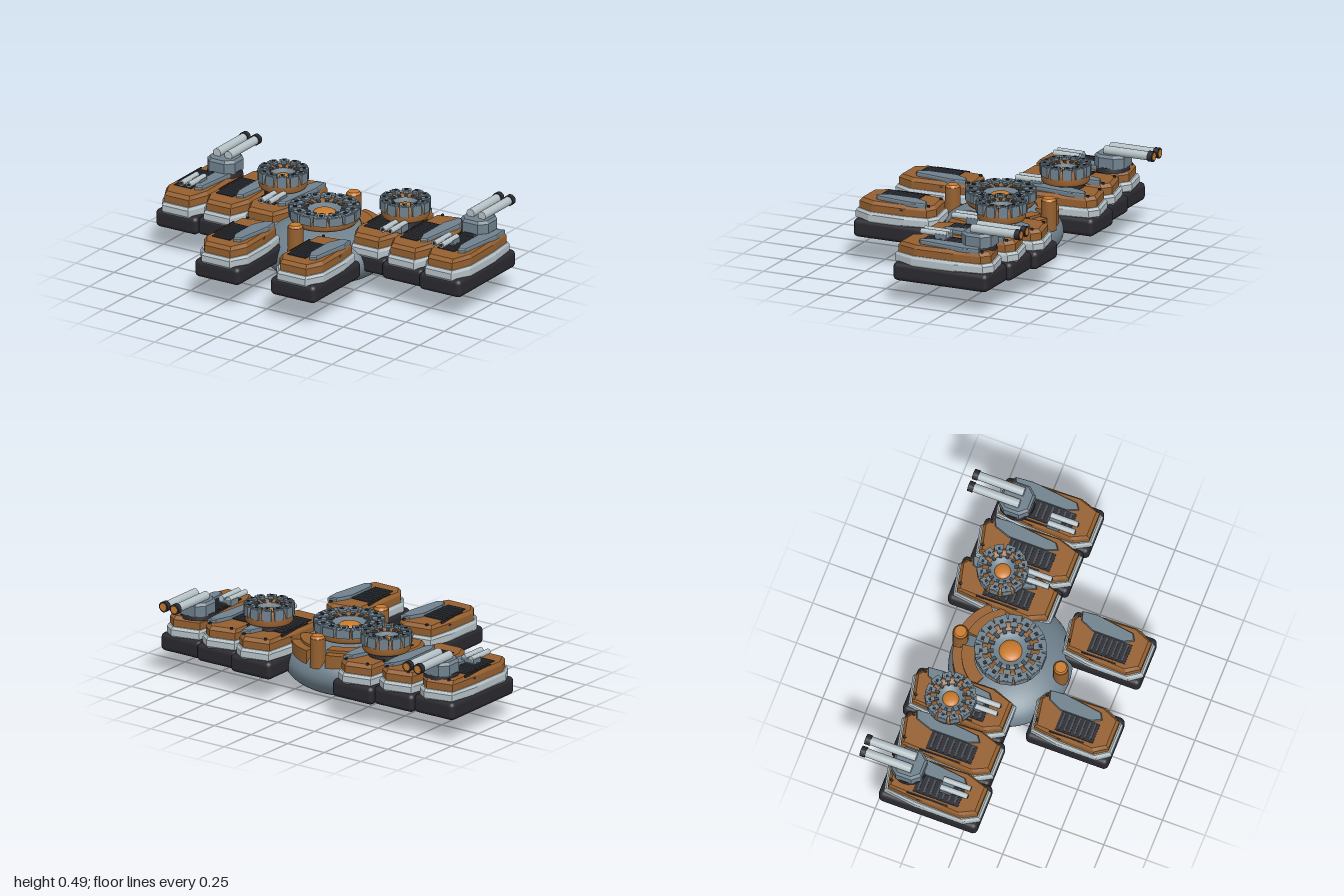
import * as THREE from 'three';
import { RoundedBoxGeometry } from 'three/addons/geometries/RoundedBoxGeometry.js';

const mat = (name, color) => {
  const m = new THREE.MeshStandardMaterial({ color });
  m.name = name;
  return m;
};

export function createModel() {
  const M = {
    hull: mat('slate hull', 0x6f818d),
    brown: mat('copper armour', 0x95602f),
    light: mat('pale band', 0xb6c2c7),
    dark: mat('dark rubber', 0x29292f),
    glow: mat('orange core', 0xc97a2c),
    steel: mat('gunmetal', 0x465059),
  };
  const root = new THREE.Group();
  root.name = 'hoverPlatform';

  const add = (parent, name, geo, material, x = 0, y = 0, z = 0) => {
    const mesh = new THREE.Mesh(geo, material);
    mesh.name = name;
    mesh.position.set(x, y, z);
    parent.add(mesh);
    return mesh;
  };
  const group = (parent, name, x = 0, y = 0, z = 0) => {
    const g = new THREE.Group();
    g.name = name;
    g.position.set(x, y, z);
    parent.add(g);
    return g;
  };
  const box = (w, h, d) => new THREE.BoxGeometry(w, h, d);
  const cyl = (r1, r2, h, n = 24) => new THREE.CylinderGeometry(r1, r2, h, n);

  // Stack an outline (x, z) at several heights: layers are [y, inset]
  const loft = (outline, layers) => {
    const n = outline.length, pos = [], idx = [];
    layers.forEach(([y, inset]) => outline.forEach(([x, z]) => {
      const l = Math.hypot(x, z) || 1;
      pos.push(x - (x / l) * inset, y, z - (z / l) * inset);
    }));
    for (let i = 0; i < layers.length - 1; i++) {
      for (let j = 0; j < n; j++) {
        const a = i * n + j, b = i * n + (j + 1) % n;
        idx.push(a, a + n, b, a + n, b + n, b);
      }
    }
    const top = (layers.length - 1) * n;
    for (let j = 1; j < n - 1; j++) idx.push(top, top + j + 1, top + j, 0, j, j + 1);
    const g = new THREE.BufferGeometry();
    g.setAttribute('position', new THREE.Float32BufferAttribute(pos, 3));
    g.setIndex(idx);
    const flat = g.toNonIndexed();
    flat.computeVertexNormals();
    return flat;
  };

  // Pod outlines as fractions of width and length
  const podOutline = [[-0.4, -0.45], [0.2, -0.51], [0.41, -0.44], [0.49, -0.15], [0.49, 0.3],
    [0.31, 0.51], [-0.31, 0.51], [-0.49, 0.36], [-0.49, -0.12]];
  const plateOutline = [[0.2, -0.36], [0.37, -0.39], [0.4, -0.22], [0.29, 0.25],
    [0.17, 0.29], [0.08, 0.18], [0.08, -0.2]];

  // Armoured pod: rubber skirt, pale band, copper roof, vent and side plate
  const pod = (name, x, y, z, w, len) => {
    const g = group(root, name, x, y, z);
    const fit = (pts) => pts.map(([u, v]) => [u * w, v * len]);
    add(g, 'skirt', new RoundedBoxGeometry(w, 0.105, len, 3, 0.028), M.dark, 0, 0.0525, 0);
    add(g, 'band', loft(fit(podOutline), [[0.09, 0.012], [0.105, 0], [0.14, 0], [0.155, 0.012]]), M.light);
    add(g, 'roof', loft(fit(podOutline), [[0.15, 0.02], [0.195, 0.02], [0.215, 0.038]]), M.brown);
    add(g, 'sidePlate', loft(fit(plateOutline), [[0.21, 0], [0.229, 0], [0.235, 0.006]]), M.hull);
    // Vent with cross slats
    const vw = 0.4 * w, vl = 0.46 * len, vx = -0.12 * w, vz = 0.055 * len;
    add(g, 'vent', box(vw, 0.012, vl), M.dark, vx, 0.214, vz);
    for (let i = 0; i < 7; i++) {
      add(g, 'ventSlat', box(vw * 0.84, 0.008, vl * 0.04), M.steel, vx, 0.222, vz + (i - 3) * vl * 0.135);
    }
    add(g, 'ventRail', box(0.008, 0.014, vl * 0.9), M.dark, -0.37 * w, 0.212, -0.02 * len);
    // Small slots on the roof flanks
    for (const s of [-1, 1]) for (const v of [-0.1, 0.26]) {
      add(g, 'sideSlot', box(0.006, 0.008, 0.02), M.dark, s * (0.49 * w - 0.02), 0.185, v * len);
    }
    for (const u of [-0.25, 0.28]) add(g, 'rivet', cyl(0.009, 0.009, 0.01, 8), M.dark, u * w, 0.217, -0.4 * len);
    return g;
  };

  // Central ellipsoid hull
  const hull = add(root, 'hull', new THREE.SphereGeometry(1, 48, 32), M.hull, 0, 0.17, -0.085);
  hull.scale.set(0.37, 0.17, 0.34);

  // Stepped copper collar behind the centre
  const collar = (r0, r1, a0, a1, y, h) => {
    const s = new THREE.Shape();
    s.absarc(0, 0, r1, a0, a1, false);
    s.absarc(0, 0, r0, a1, a0, true);
    const geo = new THREE.ExtrudeGeometry(s, { depth: h, bevelEnabled: false, curveSegments: 10 });
    geo.rotateX(-Math.PI / 2);
    add(root, 'collar', geo, M.brown, 0, y, -0.085);
  };
  for (const s of [-1, 1]) {
    const arc = (r0, r1, a, b, y, h) => {
      const p = Math.PI / 2 + s * a, q = Math.PI / 2 + s * b;
      collar(r0, r1, Math.min(p, q), Math.max(p, q), y, h);
    };
    arc(0.2, 0.27, 0.15, 1.1, 0.24, 0.08);
    arc(0.26, 0.32, 0.2, 0.85, 0.22, 0.085);
  }

  // Copper posts fore and aft
  for (const z of [0.21, -0.38]) {
    const g = group(root, 'post', 0, 0, z);
    add(g, 'postBody', cyl(0.043, 0.043, 0.17), M.brown, 0, 0.305, 0);
    add(g, 'postCap', cyl(0.032, 0.04, 0.014), M.glow, 0, 0.396, 0);
  }

  // Toothed ring with a recessed bowl and glowing core
  const ringTurret = (name, x, y, z, r, teeth, h) => {
    const g = group(root, name, x, y, z);
    const lathe = (pts) => new THREE.LatheGeometry(pts.map(([a, b]) => new THREE.Vector2(a * r, b)), 40);
    add(g, 'neck', cyl(r * 0.68, r * 0.74, 0.06), M.dark, 0, -0.02, 0);
    add(g, 'ringBody', lathe([[0.6, 0], [0.9, 0], [0.95, 0.012], [0.95, h * 0.5], [0.88, h * 0.82],
      [0.66, h * 0.82], [0.5, h * 0.55]]), M.brown);
    add(g, 'bowl', lathe([[0.56, h * 0.6], [0.56, h * 0.72], [0.48, h * 0.72], [0.34, h * 0.5], [0, h * 0.5]]), M.hull);
    add(g, 'core', new THREE.SphereGeometry(r * 0.32, 24, 10, 0, Math.PI * 2, 0, Math.PI / 2), M.glow, 0, h * 0.5, 0)
      .scale.y = 0.4;
    for (let i = 0; i < teeth; i++) {
      const t = group(g, 'tooth');
      t.rotation.y = (i / teeth) * Math.PI * 2;
      add(t, 'toothBlock', box(r * 0.37, h * 0.56, r * 0.22), M.hull, 0, h * 0.68, r * 0.88);
      add(t, 'toothCap', box(r * 0.2, h * 0.16, r * 0.34), M.hull, 0, h * 0.92, r * 0.8);
      add(t, 'spoke', box(r * 0.1, h * 0.1, r * 0.3), M.steel, 0, h * 0.83, r * 0.62);
      add(t, 'toothBolt', box(r * 0.1, 0.008, r * 0.1), M.dark, 0, h, r * 0.82);
    }
  };
  ringTurret('centreRing', 0, 0.33, -0.085, 0.2, 14, 0.088);

  const barrel = (parent, name, r, len, material, x, y, z) => {
    const geo = cyl(r, r, len, 16);
    geo.rotateX(Math.PI / 2);
    return add(parent, name, geo, material, x, y, z);
  };

  // Twin light gun lying on a pod roof
  const lightGun = (x, y, z) => {
    const g = group(root, 'lightGun', x, y, z);
    add(g, 'gunMount', box(0.085, 0.04, 0.07), M.hull, 0, 0.015, -0.045);
    for (const s of [-1, 1]) {
      barrel(g, 'lightBarrel', 0.016, 0.16, M.light, s * 0.024, 0.035, 0);
      barrel(g, 'lightBore', 0.009, 0.004, M.dark, s * 0.024, 0.035, 0.081);
    }
  };

  // Heavy twin cannon facing backwards
  const cannon = (x) => {
    const g = group(root, 'cannon', x, 0, -0.36);
    add(g, 'cannonBase', cyl(0.095, 0.1, 0.03), M.dark, 0, 0.355, 0);
    const house = [[-0.05, -0.095], [0.05, -0.095], [0.09, -0.05], [0.09, 0.04],
      [0.05, 0.085], [-0.05, 0.085], [-0.09, 0.04], [-0.09, -0.05]];
    add(g, 'cannonHouse', loft(house, [[0.365, 0], [0.425, 0], [0.44, 0.015]]), M.hull);
    for (const s of [-1, 1]) {
      const bx = s * 0.037;
      barrel(g, 'barrel', 0.025, 0.27, M.light, bx, 0.457, -0.11);
      barrel(g, 'muzzle', 0.03, 0.03, M.dark, bx, 0.457, -0.258);
      barrel(g, 'bore', 0.021, 0.004, M.glow, bx, 0.457, -0.273);
    }
  };

  // Front pods, rear pod banks and their weapons
  for (const s of [-1, 1]) {
    pod('frontPod', s * 0.248, 0.15, 0.39, 0.295, 0.485);
    pod('innerPod', s * 0.348, 0.135, -0.25, 0.275, 0.585);
    pod('middlePod', s * 0.603, 0.135, -0.22, 0.272, 0.58);
    pod('outerPod', s * 0.862, 0.135, -0.197, 0.275, 0.58);
    ringTurret('sideRing', s * 0.4, 0.38, -0.285, 0.142, 12, 0.105);
    cannon(s * 0.83);
  }
  for (const [x, z] of [[-0.86, -0.08], [0.795, -0.08], [-0.35, -0.1], [0.445, -0.1]]) lightGun(x, 0.35, z);

  return root;
}
